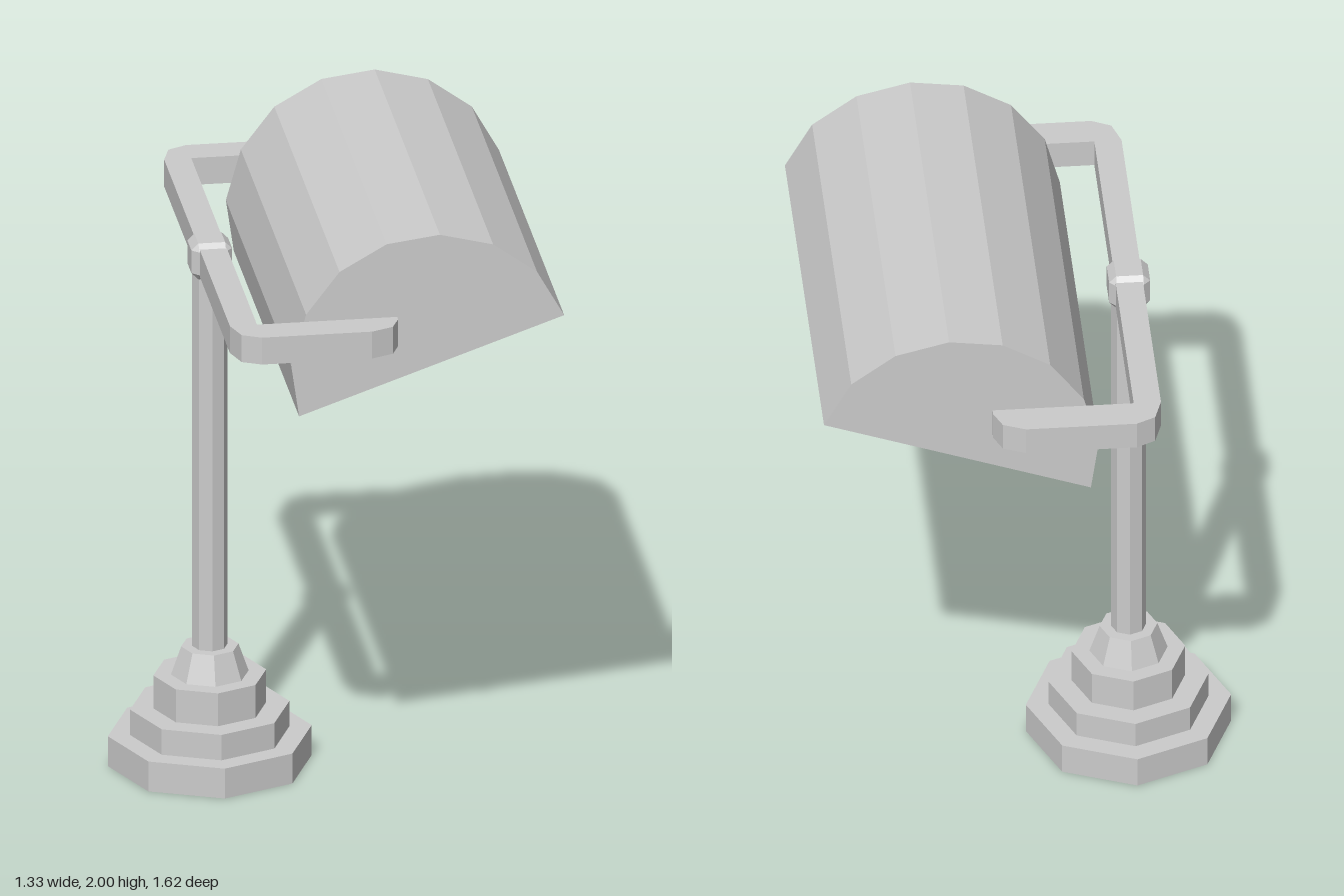
import * as THREE from 'three';
import { ConvexGeometry } from 'three/addons/geometries/ConvexGeometry.js';

const POLE_X = -0.35;

export function createModel() {
  const lamp = new THREE.Group();
  lamp.name = 'deskLamp';
  const material = new THREE.MeshStandardMaterial({ color: 0xcccccc, flatShading: true });

  const add = (name, geometry, x = 0, y = 0, z = 0) => {
    const mesh = new THREE.Mesh(geometry, material);
    mesh.name = name;
    mesh.position.set(x, y, z);
    lamp.add(mesh);
    return mesh;
  };
  const extrude = (points, depth) => new THREE.ExtrudeGeometry(
    new THREE.Shape(points.map(([x, y]) => new THREE.Vector2(x, y))),
    { depth, bevelEnabled: false });

  // Octagonal stepped base and pole: name, bottom radius, top radius, bottom y, top y
  const columns = [
    ['baseLowerTier', 0.32, 0.32, 0, 0.1],
    ['baseMiddleTier', 0.25, 0.25, 0.1, 0.185],
    ['baseUpperTier', 0.177, 0.177, 0.185, 0.295],
    ['poleCollar', 0.122, 0.09, 0.295, 0.387],
    ['pole', 0.055, 0.055, 0.38, 1.66],
  ];
  for (const [name, rBottom, rTop, y0, y1] of columns) {
    add(name, new THREE.CylinderGeometry(rTop, rBottom, y1 - y0, 8), POLE_X, (y0 + y1) / 2);
  }

  // Chamfered block clamping the arm to the pole
  const corners = [];
  const half = [0.064, 0.06, 0.065], bevel = 0.022;
  for (const sx of [-1, 1]) for (const sy of [-1, 1]) for (const sz of [-1, 1]) {
    for (let axis = 0; axis < 3; axis++) {
      const p = half.map((h, i) => (i === axis ? h : h - bevel));
      corners.push(new THREE.Vector3(sx * p[0], sy * p[1], sz * p[2]));
    }
  }
  add('poleCap', new ConvexGeometry(corners), POLE_X, 1.69);

  // U-shaped arm: one half of the outline (x, z), mirrored across z
  const armHalf = [
    [-0.305, 0.7], [0.135, 0.7], [0.135, 0.72], [0.11, 0.78], [0.04, 0.81],
    [-0.305, 0.81], [-0.365, 0.78], [-0.39, 0.7],
  ];
  const armMirror = armHalf.map(([x, z]) => [x, -z]).reverse();
  const arm = extrude([...armHalf, ...armMirror], 0.09);
  arm.rotateX(Math.PI / 2);
  add('arm', arm, 0, 1.735, 0);

  // Tilted half-round shade, closed underneath
  const shadeProfile = [
    [-0.172, 1.418], [0.66, 1.708], [0.575, 1.858], [0.437, 1.958], [0.27, 2],
    [0.103, 1.978], [-0.045, 1.894], [-0.15, 1.757], [-0.197, 1.59],
  ];
  add('shade', extrude(shadeProfile, 1.39), 0, 0, -0.695);

  return lamp;
}
